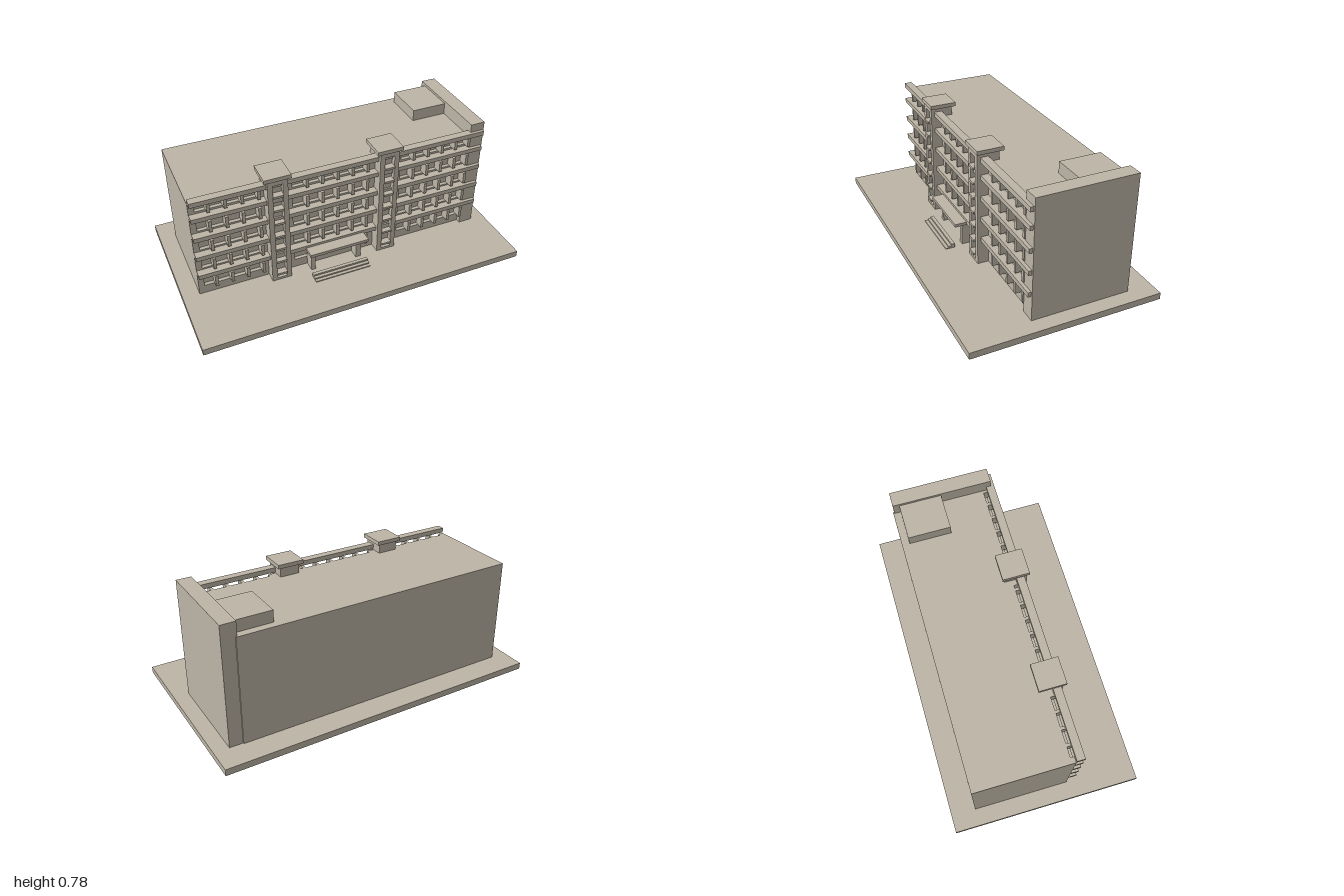
import * as THREE from 'three';

export function createModel() {
  const model = new THREE.Group();
  model.name = 'officeBuilding';
  const concrete = new THREE.MeshStandardMaterial({ color: 0xbdb5a6 });
  concrete.name = 'concrete';

  // Box given by its limits along each axis
  function block(name, x0, x1, y0, y1, z0, z1, parent = model) {
    const mesh = new THREE.Mesh(new THREE.BoxGeometry(x1 - x0, y1 - y0, z1 - z0), concrete);
    mesh.name = name;
    mesh.position.set((x0 + x1) / 2, (y0 + y1) / 2, (z0 + z1) / 2);
    parent.add(mesh);
    return mesh;
  }

  const GROUND = 0.04, ROOF = 0.69, GLASS = 0.13, WALL = 0.152;

  // Plinth, main volume, end wall and roof room
  block('base', -1, 1, 0, GROUND, -0.572, 0.572);
  block('mainBody', -0.9, 0.83, GROUND, ROOF, -0.425, GLASS);
  block('endWall', 0.82, 0.91, GROUND, 0.775, -0.418, 0.18);
  block('roofRoom', 0.6, 0.82, ROOF, 0.76, -0.38, -0.126);

  // Facade layer: spandrels between window rows, solid piers between bays
  const facade = new THREE.Group();
  facade.name = 'facade';
  model.add(facade);
  const rows = [[0.095, 0.168], [0.228, 0.302], [0.362, 0.435], [0.496, 0.569], [0.63, ROOF]];
  const bays = [
    { x0: -0.865, x1: -0.503, fins: [-0.797, -0.702, -0.607, -0.512] },
    { x0: -0.31, x1: 0.17, fins: [-0.229, -0.136, -0.043, 0.051, 0.144] },
    { x0: 0.372, x1: 0.82, fins: [0.443, 0.537, 0.631, 0.724, 0.813] },
  ];
  let below = GROUND;
  for (const [y0, y1] of rows) {
    block('spandrel', -0.9, 0.82, below, y0, GLASS, WALL, facade);
    below = y1;
  }
  const edges = [-0.9, ...bays.flatMap(b => [b.x0, b.x1]), 0.82];
  for (let i = 0; i < edges.length; i += 2) {
    if (edges[i + 1] - edges[i] > 0.01) {
      block('pier', edges[i], edges[i + 1], GROUND, ROOF, GLASS, WALL, facade);
    }
  }

  // Vertical fins between windows, left out behind the entrance
  rows.forEach(([y0, y1], row) => {
    for (const bay of bays) {
      for (const x of bay.fins) {
        if (row === 0 && x > -0.24 && x < 0.09) continue;
        block('windowFin', x - 0.009, x + 0.009, y0, y1, GLASS, 0.187, facade);
      }
    }
  });

  // Continuous ledges above every floor
  for (const [y0, y1] of [[0.19, 0.218], [0.324, 0.352], [0.457, 0.485], [0.59, 0.617], [0.695, 0.724]]) {
    block('floorLedge', -0.9, 0.9, y0, y1, WALL, 0.2);
  }

  // Stair towers with a recessed channel, sills and a cap
  for (const x of [-0.415, 0.264]) {
    const tower = new THREE.Group();
    tower.name = 'stairTower';
    tower.position.x = x;
    model.add(tower);
    block('towerCore', -0.06, 0.06, GROUND, 0.752, 0.085, 0.19, tower);
    for (const s of [-1, 1]) {
      block('towerPier', s * 0.045 - 0.015, s * 0.045 + 0.015, GROUND, 0.752, 0.19, 0.22, tower);
    }
    block('channelHead', -0.03, 0.03, 0.72, 0.752, 0.19, 0.22, tower);
    block('channelFoot', -0.03, 0.03, GROUND, 0.055, 0.19, 0.22, tower);
    for (let i = 0; i < 7; i++) {
      const y = 0.082 + i * 0.093;
      block('channelSill', -0.03, 0.03, y, y + 0.014, 0.19, 0.232, tower);
    }
    block('towerCap', -0.08, 0.08, 0.75, 0.774, 0.067, 0.227, tower);
  }

  // Entrance porch: back panel, side walls, canopy and steps
  const porch = new THREE.Group();
  porch.name = 'porch';
  model.add(porch);
  block('entrancePanel', -0.22, 0.08, GROUND, 0.19, GLASS, 0.155, porch);
  block('porchWall', -0.23, -0.203, GROUND, 0.184, 0.15, 0.22, porch);
  block('porchWall', 0.062, 0.095, GROUND, 0.184, 0.15, 0.22, porch);
  block('canopy', -0.253, 0.119, 0.184, 0.203, 0.15, 0.273, porch);
  [[0.066, 0.294], [0.055, 0.313], [0.046, 0.332]].forEach(([top, front], i) => {
    block('step', -0.245, 0.108, GROUND, top, 0.273 + (i ? 0.021 + (i - 1) * 0.019 : 0), front, porch);
  });

  return model;
}
